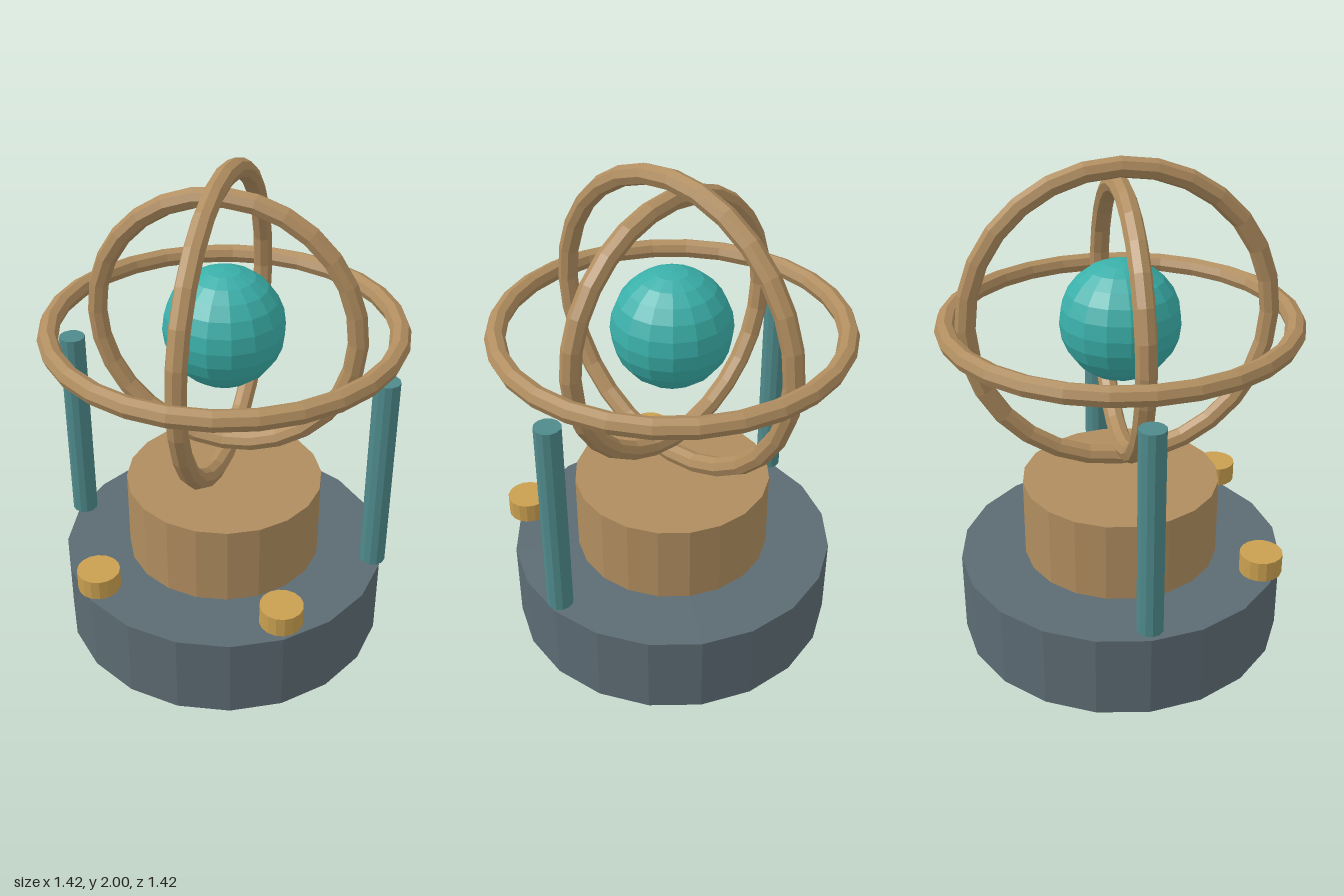
import * as THREE from 'three';

function material(name, color) {
  const m = new THREE.MeshStandardMaterial({ color });
  m.name = name;
  m.flatShading = true;
  return m;
}

export function createModel() {
  const model = new THREE.Group();
  model.name = 'armillarySphere';

  const slate = material('slate', 0x5c6b73);
  const bronze = material('bronze', 0xb08d5f);
  const teal = material('teal', 0x3aafa9);
  const darkTeal = material('darkTeal', 0x4f8a8b);
  const gold = material('gold', 0xc9a050);

  function add(name, geometry, mat, x, y, z) {
    const mesh = new THREE.Mesh(geometry, mat);
    mesh.name = name;
    mesh.position.set(x, y, z);
    model.add(mesh);
    return mesh;
  }

  // Upright cylinder given by its bottom and top heights
  function cylinder(name, radius, y0, y1, sides, mat, x = 0, z = 0) {
    const geometry = new THREE.CylinderGeometry(radius, radius, y1 - y0, sides);
    return add(name, geometry, mat, x, (y0 + y1) / 2, z);
  }

  // Stepped base
  cylinder('base', 0.67, 0, 0.343, 20, slate);
  cylinder('pedestal', 0.403, 0.343, 0.677, 20, bronze);

  // Side posts and front knobs, mirrored left and right
  for (const [side, s] of [['left', 1], ['right', -1]]) {
    cylinder(side + 'Post', 0.052, 0.377, 1.225, 12, darkTeal, s * 0.638, 0);
    cylinder(side + 'Knob', 0.085, 0.4, 0.483, 16, gold, s * 0.372, 0.503);
  }

  // Globe inside three crossed rings
  const centreY = 1.366;
  add('globe', new THREE.SphereGeometry(0.238, 16, 12), teal, 0, centreY, 0);

  const ring = (name, radius) =>
    add(name, new THREE.TorusGeometry(radius, 0.04, 8, 28), bronze, 0, centreY, 0);
  ring('innerRing', 0.518);
  ring('middleRing', 0.594).rotation.y = Math.PI / 2;
  ring('outerRing', 0.67).rotation.x = Math.PI / 2;

  return model;
}
